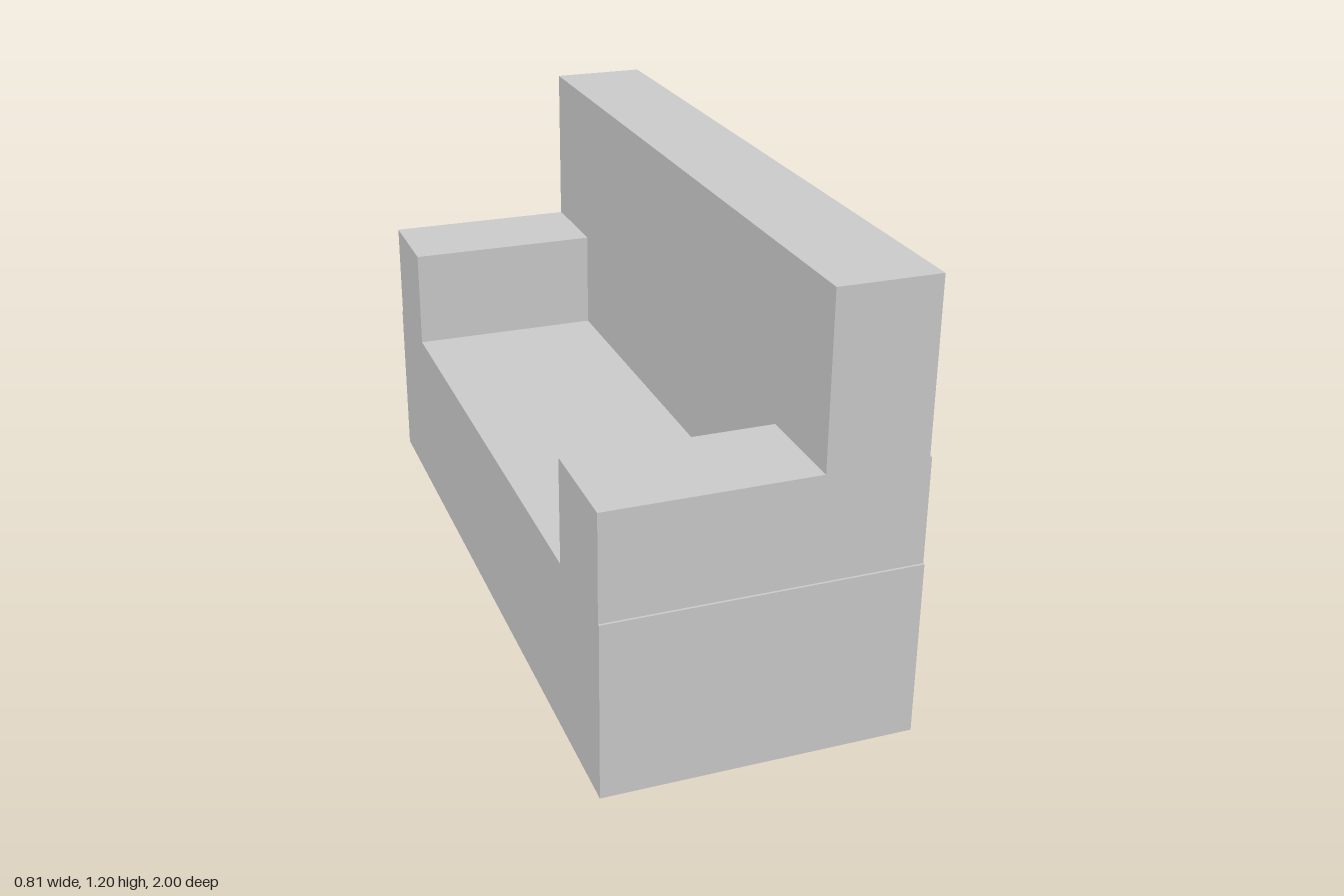
import * as THREE from 'three';

export function createModel() {
  const model = new THREE.Group();
  const material = new THREE.MeshStandardMaterial({ color: 0xcccccc, flatShading: true });

  // Box given by its extents along each axis
  function block(name, [x0, x1], [y0, y1], [z0, z1]) {
    const mesh = new THREE.Mesh(new THREE.BoxGeometry(x1 - x0, y1 - y0, z1 - z0), material);
    mesh.position.set((x0 + x1) / 2, (y0 + y1) / 2, (z0 + z1) / 2);
    mesh.name = name;
    model.add(mesh);
  }

  const seatHeight = 0.47;
  const depth = [-0.405, 0.405];

  // Solid seat base; the sofa opens towards -x
  block('seatBase', depth, [0, seatHeight], [-1, 1]);

  // Backrest, set in slightly from the base
  block('backrest', [0.137, 0.4], [seatHeight, 1.2], [-0.996, 0.994]);

  // Armrests run the full depth and pass just through the backrest
  block('armrestNear', depth, [seatHeight, 0.75], [0.714, 0.994]);
  block('armrestFar', depth, [seatHeight, 0.75], [-0.992, -0.721]);

  return model;
}
